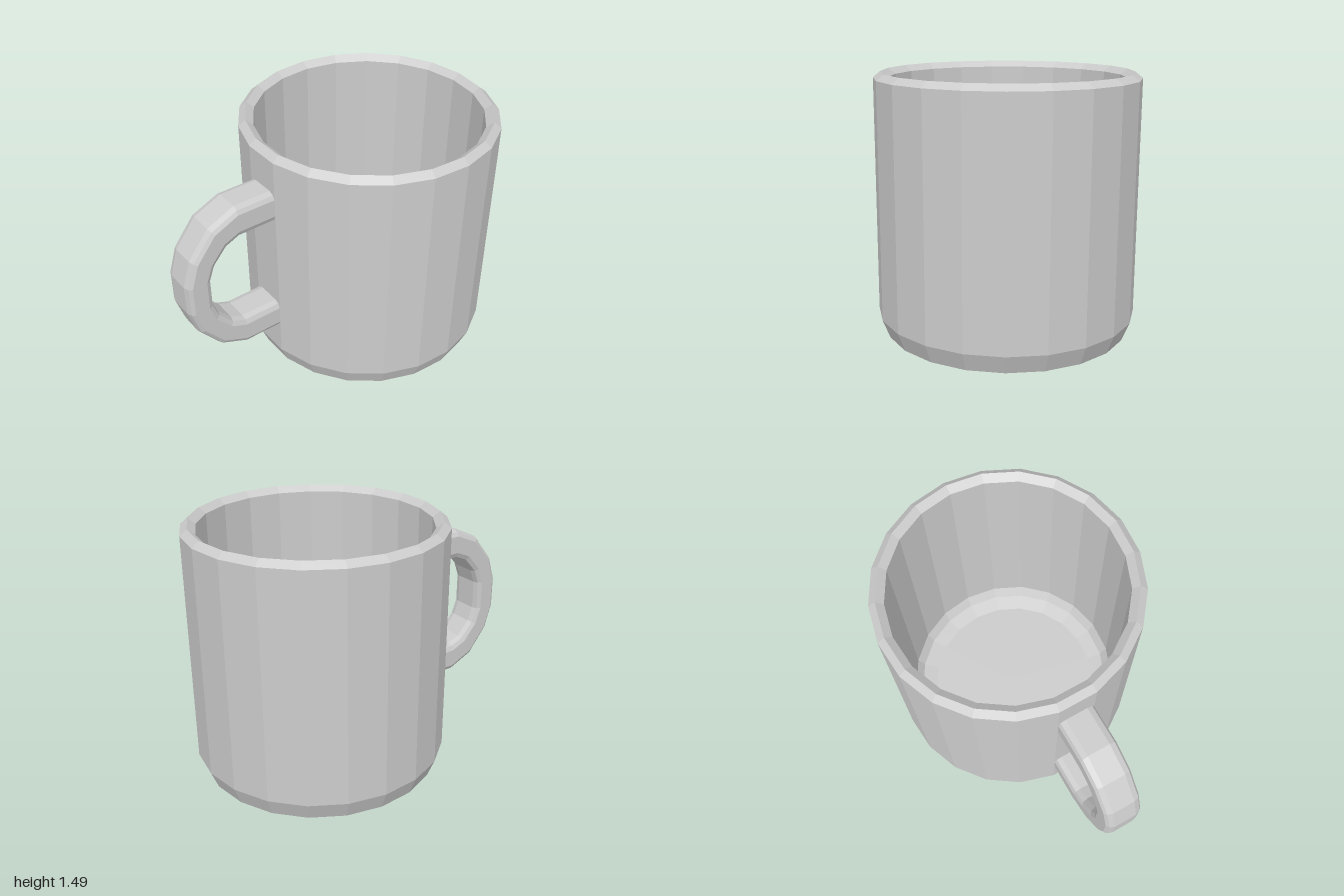
import * as THREE from 'three';

const material = new THREE.MeshStandardMaterial({ color: 0xcccccc, flatShading: true });

// Skin between equal loops of points, each loop wound counter-clockwise about the direction of travel
function loft(loops) {
  const n = loops[0].length;
  const index = [];
  for (let i = 0; i < loops.length - 1; i++) {
    for (let j = 0; j < n; j++) {
      const a = i * n + j, b = i * n + (j + 1) % n;
      index.push(a, b, b + n, a, b + n, a + n);
    }
  }
  const geometry = new THREE.BufferGeometry().setFromPoints(loops.flat());
  geometry.setIndex(index);
  geometry.computeVertexNormals();
  return geometry;
}

// 21-sided cup: outer wall, sharp bevelled rim, inner wall and floor
function makeCup() {
  const profile = [
    [0, 0], [0.585, 0], [0.685, 0.04], [0.727, 0.145], [0.727, 1.46],
    [0.687, 1.493], [0.645, 1.46], [0.645, 0.165], [0.607, 0.105], [0.52, 0.08], [0, 0.08],
  ].map(([r, y]) => new THREE.Vector2(r, y));
  const cup = new THREE.Mesh(new THREE.LatheGeometry(profile, 21, Math.PI), material);
  cup.name = 'cup';
  cup.position.z = -0.273;
  return cup;
}

// Handle: a bevelled section carried along paired outer and inner edges
function makeHandle() {
  const midY = 0.803;
  // upper half: outer z, outer height, inner z, inner height (heights from midY)
  const upper = [
    [0.4, 0.467, 0.4, 0.287],
    [0.668, 0.467, 0.668, 0.287],
    [0.83, 0.395, 0.743, 0.255],
    [0.953, 0.24, 0.82, 0.17],
    [1.0, 0.09, 0.852, 0.087],
  ];
  const lower = upper.map(([oz, oy, iz, iy]) => [oz, -oy, iz, -iy]).reverse();

  // half section: x, and 0 (inner edge) to 1 (outer edge)
  const half = [[0.065, 0], [0.095, 0.06], [0.108, 0.22], [0.108, 0.8], [0.095, 0.93], [0.065, 1]];
  const section = [...half, ...half.map(([x, s]) => [-x, s]).reverse()];

  const loops = [...upper, ...lower].map(([oz, oy, iz, iy]) =>
    section.map(([x, s]) => new THREE.Vector3(
      x,
      midY + THREE.MathUtils.lerp(iy, oy, s),
      THREE.MathUtils.lerp(iz, oz, s),
    )));
  const handle = new THREE.Mesh(loft(loops), material);
  handle.name = 'handle';
  return handle;
}

export function createModel() {
  const mug = new THREE.Group();
  mug.name = 'mug';
  mug.add(makeCup(), makeHandle());
  return mug;
}
